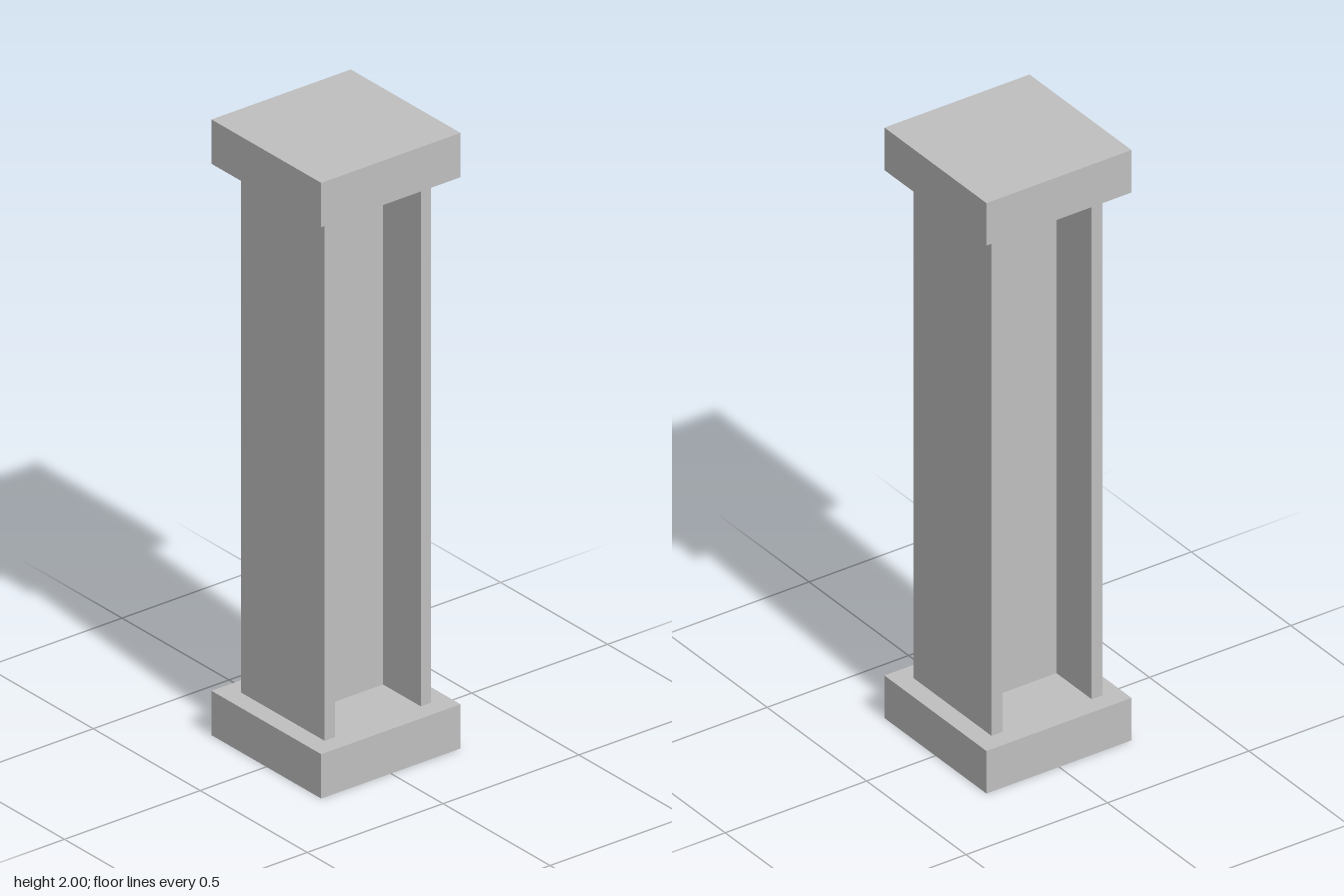
import * as THREE from 'three';

const HALF = 0.2565;      // half width of the end plates
const PLATE_H = 0.144;    // end plate height
const FLANGE_W = 0.392;   // flange width in x
const FLANGE_T = 0.038;   // flange thickness in z
const FLANGE_OUT = 0.196; // outer face of each flange
const WEB_T = 0.038;      // web thickness in x

export function createModel() {
  const group = new THREE.Group();
  group.name = 'column';
  const steel = new THREE.MeshStandardMaterial({ color: 0xbfbfbf });
  steel.name = 'grey steel';

  const addBox = (name, w, h, d, y, z = 0) => {
    const mesh = new THREE.Mesh(new THREE.BoxGeometry(w, h, d), steel);
    mesh.name = name;
    mesh.position.set(0, y, z);
    group.add(mesh);
  };

  // Square end plates
  addBox('basePlate', HALF * 2, PLATE_H, HALF * 2, PLATE_H / 2);
  addBox('capPlate', HALF * 2, PLATE_H, HALF * 2, 2 - PLATE_H / 2);

  // I-section shaft: two flanges joined by a web
  const shaftH = 2 - PLATE_H * 2;
  const flangeZ = FLANGE_OUT - FLANGE_T / 2;
  addBox('frontFlange', FLANGE_W, shaftH, FLANGE_T, 1, flangeZ);
  addBox('backFlange', FLANGE_W, shaftH, FLANGE_T, 1, -flangeZ);
  addBox('web', WEB_T, shaftH, (FLANGE_OUT - FLANGE_T) * 2, 1);

  return group;
}
